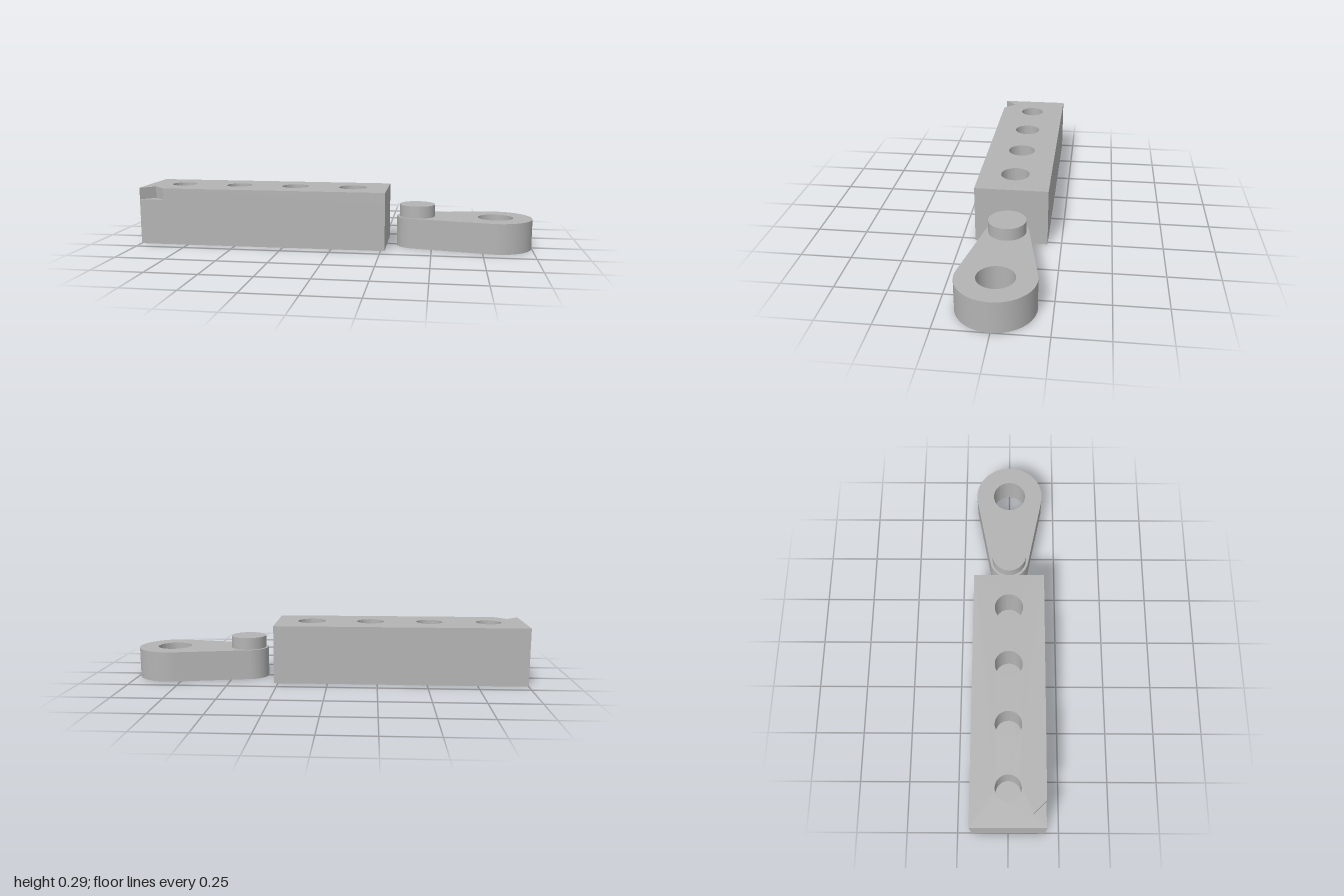
import * as THREE from 'three';
import { toCreasedNormals } from 'three/addons/utils/BufferGeometryUtils.js';

const grey = new THREE.MeshStandardMaterial({ color: 0xb3b3b3 });
grey.name = 'plain grey';

// Upright prism from a plan outline (shape y = -z), smooth on its round walls
function prism(name, shape, y0, y1) {
  const geo = new THREE.ExtrudeGeometry(shape, { depth: y1 - y0, bevelEnabled: false, curveSegments: 32 });
  geo.rotateX(-Math.PI / 2);
  geo.translate(0, y0, 0);
  const mesh = new THREE.Mesh(toCreasedNormals(geo, 0.5), grey);
  mesh.name = name;
  return mesh;
}

function addHole(shape, x, r) {
  shape.holes.push(new THREE.Path().absarc(x, 0, r, 0, Math.PI * 2, true));
}

const HALF = 0.181;   // half depth of block and link
const LEFT = -1, RIGHT = 0.27;

// Plan of the block, optionally with the V notch and the sockets
function blockPlan(notched, drilled) {
  const s = new THREE.Shape();
  s.moveTo(LEFT, -HALF);
  if (notched) {
    s.lineTo(-0.936, -0.118);
    s.lineTo(-0.873, -HALF);
  }
  s.lineTo(RIGHT, -HALF);
  s.lineTo(RIGHT, HALF);
  s.lineTo(LEFT, HALF);
  s.closePath();
  if (drilled) {
    // Four sockets, growing slightly towards the link
    for (let i = 0; i < 4; i++) addHole(s, -0.82 + i * 0.303, 0.0635 + i * 0.0028);
  }
  return s;
}

export function createModel() {
  const model = new THREE.Group();
  model.name = 'gaugeBlockAndLink';

  // Block: solid base, drilled middle, notched top layer
  const block = new THREE.Group();
  block.name = 'socketBlock';
  block.add(
    prism('blockBase', blockPlan(false, false), 0, 0.08),
    prism('blockMiddle', blockPlan(false, true), 0.08, 0.232),
    prism('blockNotchedTop', blockPlan(true, true), 0.232, 0.292)
  );

  // Link: two round ends joined by tangents, with a through hole
  const small = { x: 0.423, r: 0.103 }, big = { x: 0.819, r: HALF };
  const t = Math.acos((small.r - big.r) / (big.x - small.x));
  const plan = new THREE.Shape();
  plan.absarc(big.x, 0, big.r, -t, t, false);
  plan.absarc(small.x, 0, small.r, t, Math.PI * 2 - t, false);
  plan.closePath();
  addHole(plan, 0.818, 0.087);

  const link = new THREE.Group();
  link.name = 'link';
  link.add(prism('linkBody', plan, 0, 0.152));

  // Pin on the small end
  const pin = new THREE.Mesh(new THREE.CylinderGeometry(0.09, 0.09, 0.061, 64), grey);
  pin.name = 'linkPin';
  pin.position.set(small.x, 0.1825, 0);
  link.add(pin);

  model.add(block, link);
  return model;
}
